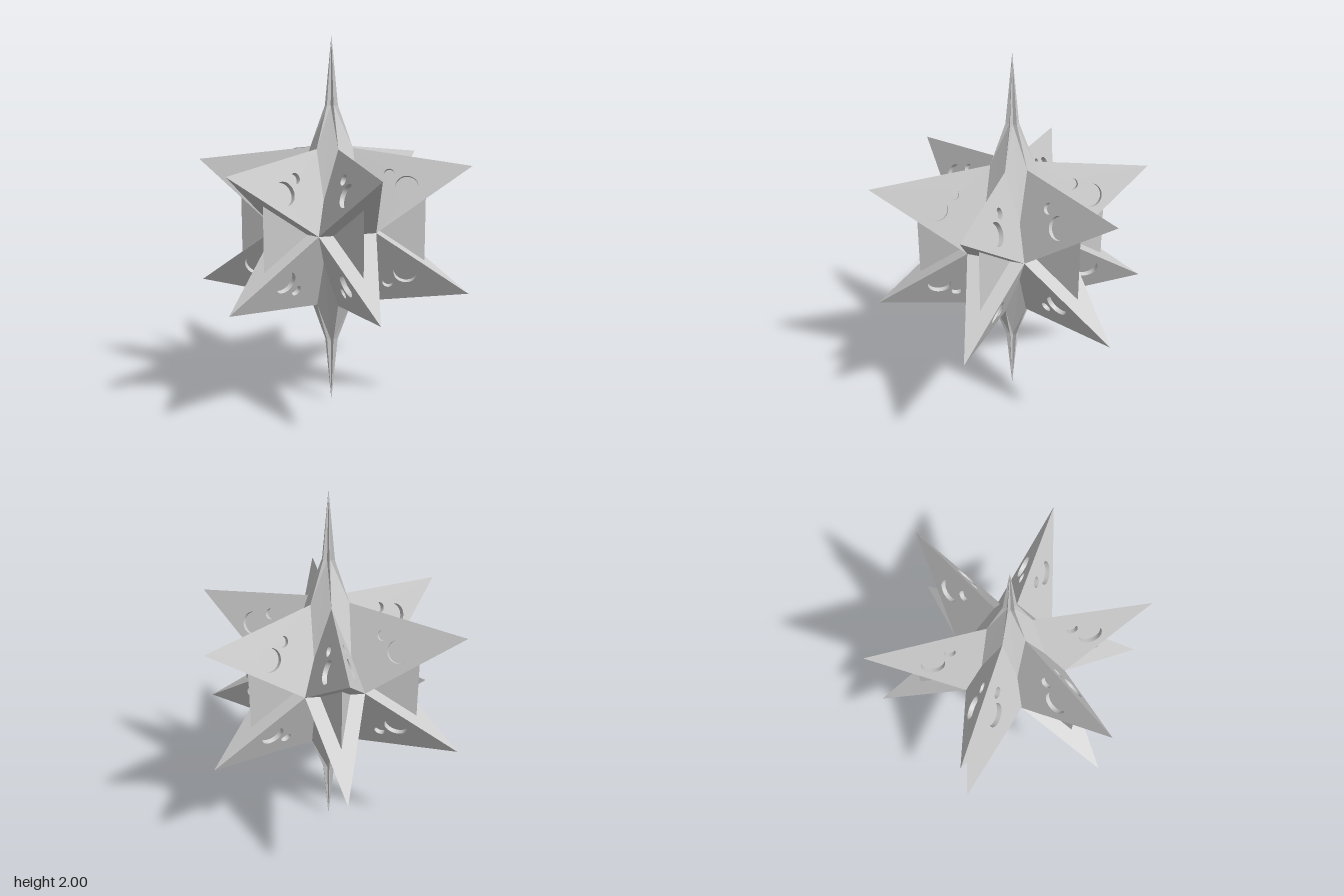
import * as THREE from 'three';

const material = new THREE.MeshStandardMaterial({ color: 0xcccccc, flatShading: true });
const liningMaterial = new THREE.MeshStandardMaterial({ color: 0xcccccc, side: THREE.DoubleSide });
const vec = (x, y, z) => new THREE.Vector3(x, y, z);

// Key points of one spike that points to +z, measured from the star's centre
const TIP = vec(0, 0.34, 0.74);
const RIDGE = vec(0, 0.42, 0.115);        // where the spike's ridge meets the spire
const VALLEY = vec(0.155, 0, 0.2685);     // shared with the neighbouring spike
const VALLEY_L = vec(-0.155, 0, 0.2685);
const NORMAL = TIP.clone().sub(RIDGE).cross(VALLEY.clone().sub(RIDGE)).normalize();

// Put a point on the plane of the spike's side by choosing its height
function onSide(x, z) {
  const y = RIDGE.y - (NORMAL.x * (x - RIDGE.x) + NORMAL.z * (z - RIDGE.z)) / NORMAL.y;
  return vec(x, y, z);
}
const NOTCH = onSide(0.0965, 0.167);      // foot of the spire in the valley

function facets(name, triangles) {
  const geometry = new THREE.BufferGeometry().setFromPoints(triangles.flat());
  geometry.computeVertexNormals();
  const mesh = new THREE.Mesh(geometry, material);
  mesh.name = name;
  return mesh;
}

// Flat side of a spike with two round recesses
function spikeSide() {
  const u = TIP.clone().sub(RIDGE).normalize();
  const v = NORMAL.clone().cross(u);
  const frame = new THREE.Matrix4().makeBasis(u, v, NORMAL).setPosition(RIDGE);
  const inverse = frame.clone().invert();
  const flat = (p) => p.clone().applyMatrix4(inverse);

  const side = new THREE.Group();
  side.name = 'spikeSide';
  const shape = new THREE.Shape([TIP, RIDGE, NOTCH, VALLEY].map((p) => {
    const q = flat(p);
    return new THREE.Vector2(q.x, q.y);
  }));
  const depth = 0.025;
  for (const [x, z, radius] of [[0.06, 0.41, 0.062], [0.04, 0.315, 0.029]]) {
    const c = flat(onSide(x, z));
    shape.holes.push(new THREE.Path().absarc(c.x, c.y, radius, 0, Math.PI * 2, true));
    const wall = new THREE.Mesh(
      new THREE.CylinderGeometry(radius, radius, depth, 32, 1, true).rotateX(Math.PI / 2),
      liningMaterial);
    wall.position.set(c.x, c.y, -depth / 2);
    wall.name = 'recessWall';
    const floor = new THREE.Mesh(new THREE.CircleGeometry(radius, 32), material);
    floor.position.set(c.x, c.y, -depth);
    floor.name = 'recessFloor';
    side.add(wall, floor);
  }
  const plate = new THREE.Mesh(new THREE.ShapeGeometry(shape, 16), material);
  plate.name = 'sidePlate';
  side.add(plate);
  side.applyMatrix4(frame);
  return side;
}

// One half of a spike, its slice of the spire and its share of the fin
function halfSector() {
  const half = new THREE.Group();
  half.name = 'halfSector';
  const kinkOut = vec(0, 0.64, 0.035);
  const kinkIn = vec(0.009, 0.64, 0.0156);
  const top = vec(0, 1, 0);
  const finTop = vec(0, 0.17, 0.504);
  const finFoot = vec(0, 0, 0.504);
  const finCorner = vec(0.0775, 0, 0.2685);
  half.add(
    spikeSide(),
    facets('spire', [
      [RIDGE, NOTCH, kinkIn],
      [RIDGE, kinkIn, kinkOut],
      [kinkOut, kinkIn, top],
    ]),
    facets('fin', [[finFoot, finCorner, finTop]]),
  );
  return half;
}

export function createModel() {
  const model = new THREE.Group();
  model.name = 'star';
  for (const up of [1, -1]) {
    const hemisphere = new THREE.Group();
    hemisphere.name = up > 0 ? 'upperHalf' : 'lowerHalf';
    for (let i = 0; i < 6; i++) {
      const spike = new THREE.Group();
      spike.name = 'spike';
      const right = halfSector();
      right.scale.x = -1;
      spike.add(halfSector(), right, facets('underside', [[TIP, VALLEY_L, VALLEY]]));
      spike.rotation.y = (i * Math.PI) / 3;
      hemisphere.add(spike);
    }
    hemisphere.scale.y = up;
    hemisphere.position.y = 1;
    model.add(hemisphere);
  }
  return model;
}
